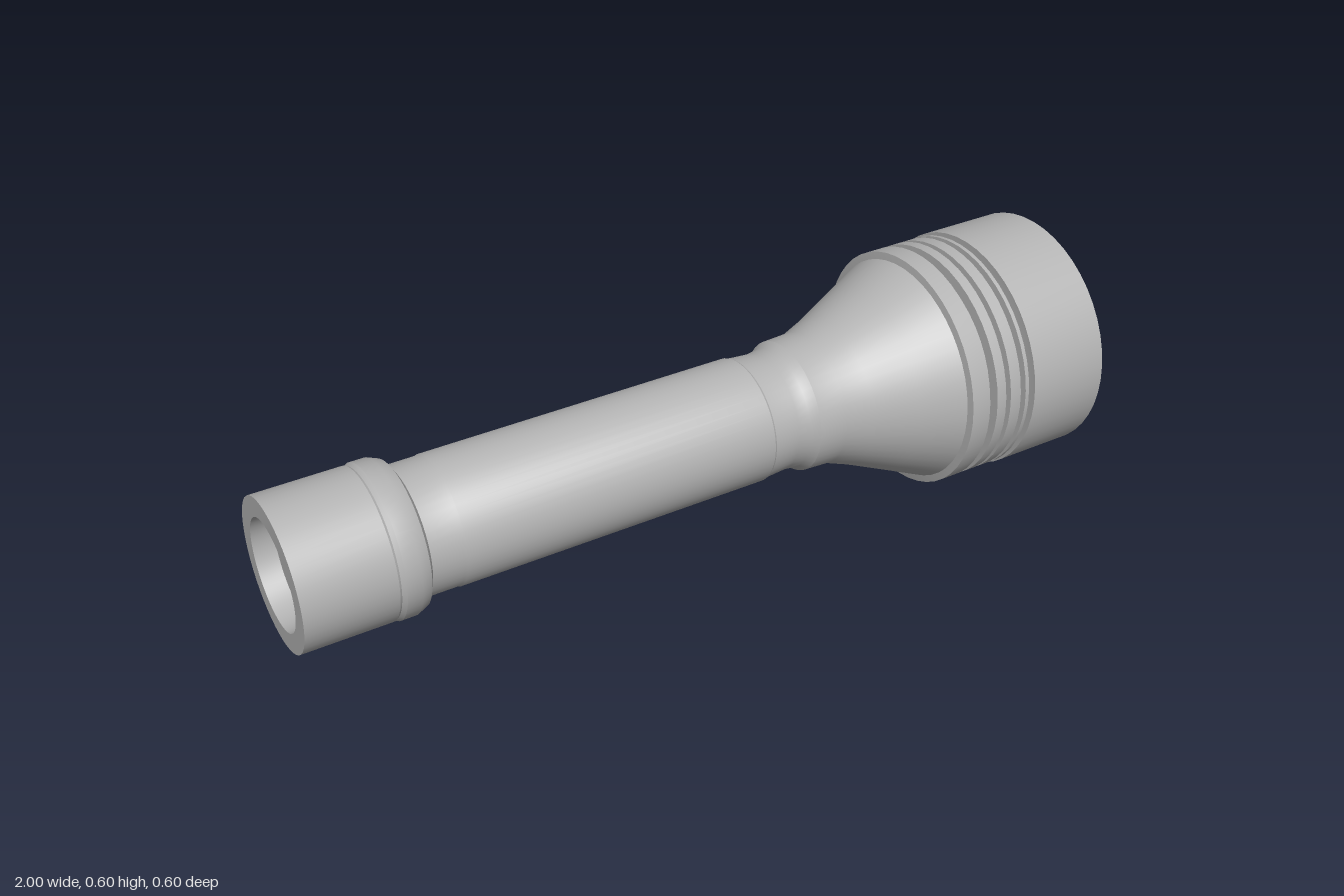
import * as THREE from 'three';
import { toCreasedNormals } from 'three/addons/utils/BufferGeometryUtils.js';

const AXIS_HEIGHT = 0.3;

export function createModel() {
  const model = new THREE.Group();
  model.name = 'flashlight';
  const metal = new THREE.MeshStandardMaterial({ color: 0xb4b4b4 });
  metal.name = 'grey metal';

  // Turns a profile of [x along the body, radius] pairs around the long axis
  function turned(name, profile) {
    const points = profile.map(([x, r]) => new THREE.Vector2(r, x));
    const geometry = new THREE.LatheGeometry(points, 48);
    geometry.rotateZ(-Math.PI / 2);
    geometry.translate(0, AXIS_HEIGHT, 0);
    const mesh = new THREE.Mesh(toCreasedNormals(geometry, 0.5), metal);
    mesh.name = name;
    model.add(mesh);
  }

  // Tail cap with a recessed end and a raised band at its front edge
  turned('tailCap', [
    [-0.95, 0], [-0.95, 0.125], [-1, 0.128], [-1, 0.175],
    [-0.79, 0.175], [-0.785, 0.172], [-0.775, 0.178], [-0.74, 0.178],
    [-0.715, 0.168], [-0.705, 0.149],
  ]);

  // Plain grip tube
  turned('barrel', [
    [-0.705, 0.149], [-0.63, 0.149], [-0.625, 0.151], [0.15, 0.151], [0.155, 0.148],
  ]);

  // Narrow waist, collar and flared cone
  turned('neck', [
    [0.155, 0.148], [0.22, 0.143], [0.25, 0.147], [0.27, 0.16], [0.34, 0.163],
    [0.4, 0.185], [0.5, 0.229], [0.605, 0.276],
  ]);

  // Head with cooling grooves and front rim
  const head = [[0.605, 0.276], [0.608, 0.294]];
  for (const [start, end] of [[0.658, 0.68], [0.706, 0.72], [0.75, 0.765], [0.775, 0.79]]) {
    head.push([start, 0.294], [start + 0.002, 0.268], [end - 0.002, 0.268], [end, 0.294]);
  }
  head.push([0.79, 0.298], [1, 0.298], [1, 0.25], [0.975, 0.246], [0.972, 0.23]);
  turned('head', head);

  // Recessed dish with a gently domed centre
  turned('reflector', [
    [0.972, 0.23], [0.93, 0.225], [0.905, 0.21], [0.888, 0.188], [0.88, 0.16],
    [0.883, 0.13], [0.892, 0.095], [0.902, 0.05], [0.906, 0],
  ]);

  return model;
}
